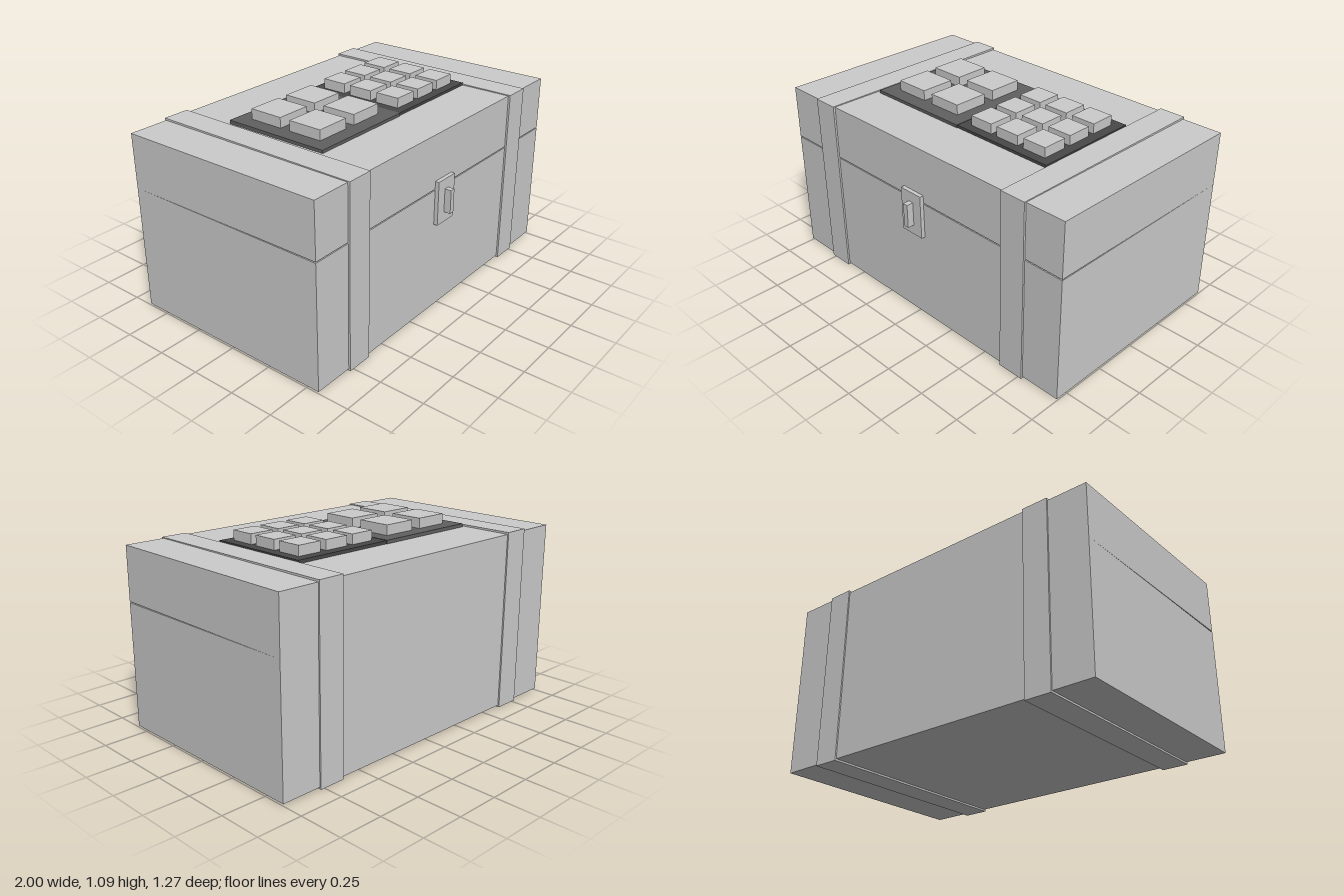
import * as THREE from 'three';

const grey = new THREE.MeshStandardMaterial({ color: 0xcccccc });
const darkGrey = new THREE.MeshStandardMaterial({ color: 0x606060 });
const charcoal = new THREE.MeshStandardMaterial({ color: 0x484848 });

// Box given by its limits along each axis
function block(name, [x0, x1], [y0, y1], [z0, z1], material = grey) {
  const mesh = new THREE.Mesh(new THREE.BoxGeometry(x1 - x0, y1 - y0, z1 - z0), material);
  mesh.position.set((x0 + x1) / 2, (y0 + y1) / 2, (z0 + z1) / 2);
  mesh.name = name;
  return mesh;
}

// Square keys laid out in a grid, starting from the back left key
function keyGrid(name, count, size, pitch, x0, z0, top) {
  const keys = new THREE.Group();
  keys.name = name;
  for (let row = 0; row < count; row++) {
    for (let col = 0; col < count; col++) {
      const x = x0 + col * pitch, z = z0 + row * pitch;
      keys.add(block('key', [x, x + size], [1.025, top], [z, z + size]));
    }
  }
  return keys;
}

export function createModel() {
  const model = new THREE.Group();
  model.name = 'keypadChest';

  // Chest body, with a lid hinged at the back and raised a hair at the front
  const back = -0.628, front = 0.575, seam = 0.71;
  model.add(block('body', [-1, 1], [0.01, seam], [back, front]));
  const hinge = new THREE.Group();
  hinge.name = 'lidHinge';
  hinge.position.set(0, seam, back);
  hinge.rotation.x = -0.005;
  hinge.add(block('lid', [-1, 1], [0, 0.302], [0, front - back]));
  model.add(hinge);

  // Straps wrapped right around the chest
  for (const x of [-0.775, 0.625]) {
    model.add(block('strap', [x, x + 0.148], [0, 1.023], [-0.636, 0.585]));
  }

  // Front latch
  const latch = new THREE.Group();
  latch.name = 'latch';
  latch.add(block('latchPlate', [-0.073, 0.073], [0.513, 0.76], [0.56, 0.597]));
  latch.add(block('latchKnob', [-0.015, 0.015], [0.57, 0.703], [0.59, 0.635]));
  model.add(latch);

  // Key panels on the lid
  model.add(block('leftPanel', [-0.605, 0.015], [1.005, 1.033], [-0.336, 0.283], darkGrey));
  model.add(block('rightPanel', [0.015, 0.625], [1.005, 1.031], [-0.332, 0.278], charcoal));
  model.add(keyGrid('largeKeys', 2, 0.198, 0.259, -0.525, -0.257, 1.09));
  model.add(keyGrid('smallKeys', 3, 0.142, 0.181, 0.068, -0.276, 1.086));

  return model;
}
